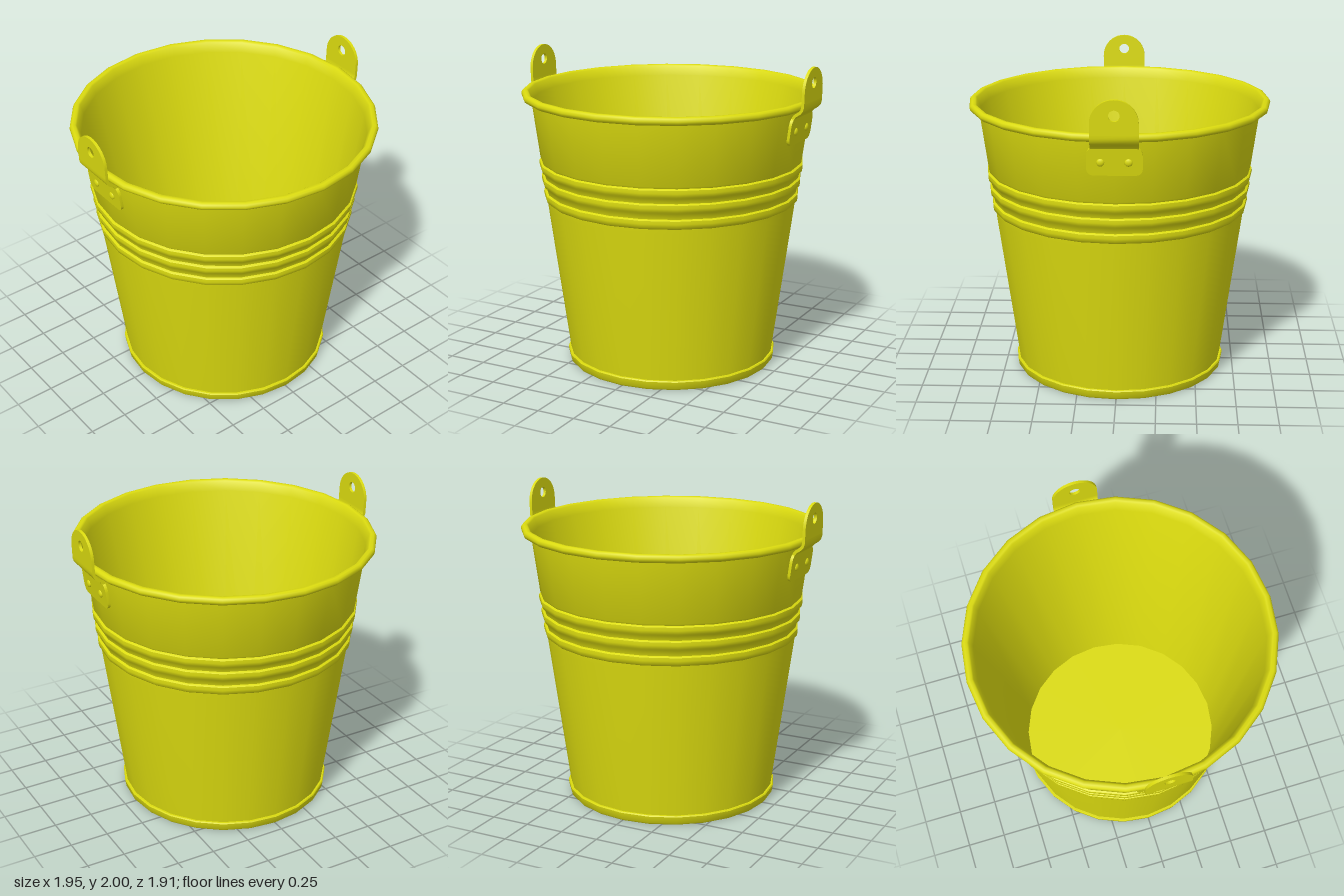
import * as THREE from 'three';
import { toCreasedNormals } from 'three/addons/utils/BufferGeometryUtils.js';

const SIDES = 24;
const SLOPE = 0.135; // outward lean of the wall
const THICK = 0.018; // sheet thickness of the handle lugs
const wall = (y) => 0.66 + SLOPE * y;

// Closed profile: underside, outer wall with ridges, rolled rim, inner wall, floor
function bucketProfile() {
  const p = [[0, 0], [0.668, 0], [0.678, 0.012], [0.685, 0.055], [0.68, 0.062], [wall(0.062), 0.062], [wall(1.05), 1.05]];
  for (const y of [1.08, 1.18, 1.275]) {
    const r = wall(y);
    p.push([r - 0.001, y], [r + 0.013, y + 0.012], [r + 0.018, y + 0.035], [r + 0.017, y + 0.055], [r + 0.01, y + 0.06], [r + 0.003, y + 0.063]);
  }
  p.push([wall(1.35), 1.35], [wall(1.74), 1.74]);
  p.push([0.937, 1.739], [0.95, 1.75], [0.954, 1.764], [0.949, 1.78], [0.937, 1.788], [0.918, 1.788], [0.908, 1.78]);
  p.push([0.886, 1.72], [0.655, 0.03], [0, 0.03]);
  return p.map(([r, y]) => new THREE.Vector2(r, y));
}

// Sheet outline drawn in (z, y), stood up facing +x with a lean, hinged at its lower edge
function sheet(shape, lean, x, y) {
  const g = new THREE.ExtrudeGeometry(shape, { depth: THICK, bevelEnabled: false, curveSegments: 10 });
  g.rotateY(Math.PI / 2).rotateZ(-Math.atan(lean)).translate(x, y, 0);
  return toCreasedNormals(g, 0.6);
}

// Rounded top plate with the hole for the handle
function topPlate() {
  const s = new THREE.Shape();
  s.moveTo(-0.142, 0);
  s.lineTo(0.142, 0);
  s.lineTo(0.142, 0.068);
  s.absarc(0, 0.068, 0.142, 0, Math.PI, false);
  s.closePath();
  const hole = new THREE.Path();
  hole.absarc(0, 0.115, 0.034, 0, Math.PI * 2, true);
  s.holes.push(hole);
  return sheet(s, 0.03, 0.953, 1.79);
}

// Wider riveted plate with rounded corners
function lowerPlate() {
  const s = new THREE.Shape();
  s.moveTo(-0.115, 0);
  s.lineTo(0.115, 0);
  s.quadraticCurveTo(0.165, 0, 0.165, 0.05);
  s.lineTo(0.165, 0.12);
  s.quadraticCurveTo(0.163, 0.155, 0.142, 0.17);
  s.lineTo(-0.142, 0.17);
  s.quadraticCurveTo(-0.163, 0.155, -0.165, 0.12);
  s.lineTo(-0.165, 0.05);
  s.quadraticCurveTo(-0.165, 0, -0.115, 0);
  return sheet(s, SLOPE, 0.867, 1.53);
}

// S-shaped strip that steps out around the rim
function bend() {
  const outer = [[0.908, 1.695], [0.918, 1.71], [0.95, 1.732], [0.964, 1.75], [0.97, 1.77], [0.971, 1.79]];
  const inner = [[0.953, 1.79], [0.952, 1.773], [0.947, 1.758], [0.936, 1.745], [0.905, 1.724], [0.892, 1.705], [0.89, 1.695]];
  const s = new THREE.Shape([...outer, ...inner].map(([x, y]) => new THREE.Vector2(x, y)));
  const g = new THREE.ExtrudeGeometry(s, { depth: 0.284, bevelEnabled: false });
  g.translate(0, 0, -0.142);
  return toCreasedNormals(g, 0.8);
}

export function createModel() {
  const yellow = new THREE.MeshStandardMaterial({ color: 0xdcdc0f });
  yellow.name = 'yellow paint';
  const model = new THREE.Group();
  model.name = 'bucket';

  const add = (parent, name, geometry) => {
    const mesh = new THREE.Mesh(geometry, yellow);
    mesh.name = name;
    parent.add(mesh);
    return mesh;
  };

  add(model, 'bucketBody', toCreasedNormals(new THREE.LatheGeometry(bucketProfile(), SIDES), 0.75));

  // One lug on each side
  const parts = { lugTop: topPlate(), lugBend: bend(), lugBase: lowerPlate() };
  const rivet = new THREE.SphereGeometry(0.024, 12, 8);
  for (const [name, turn] of [['leftLug', 0], ['rightLug', Math.PI]]) {
    const lug = new THREE.Group();
    lug.name = name;
    lug.rotation.y = turn;
    for (const key in parts) add(lug, key, parts[key]);
    for (const side of [-1, 1]) {
      const r = add(lug, 'rivet', rivet);
      r.position.set(0.896, 1.61, side * 0.082);
      r.scale.x = 0.5;
    }
    model.add(lug);
  }
  return model;
}
